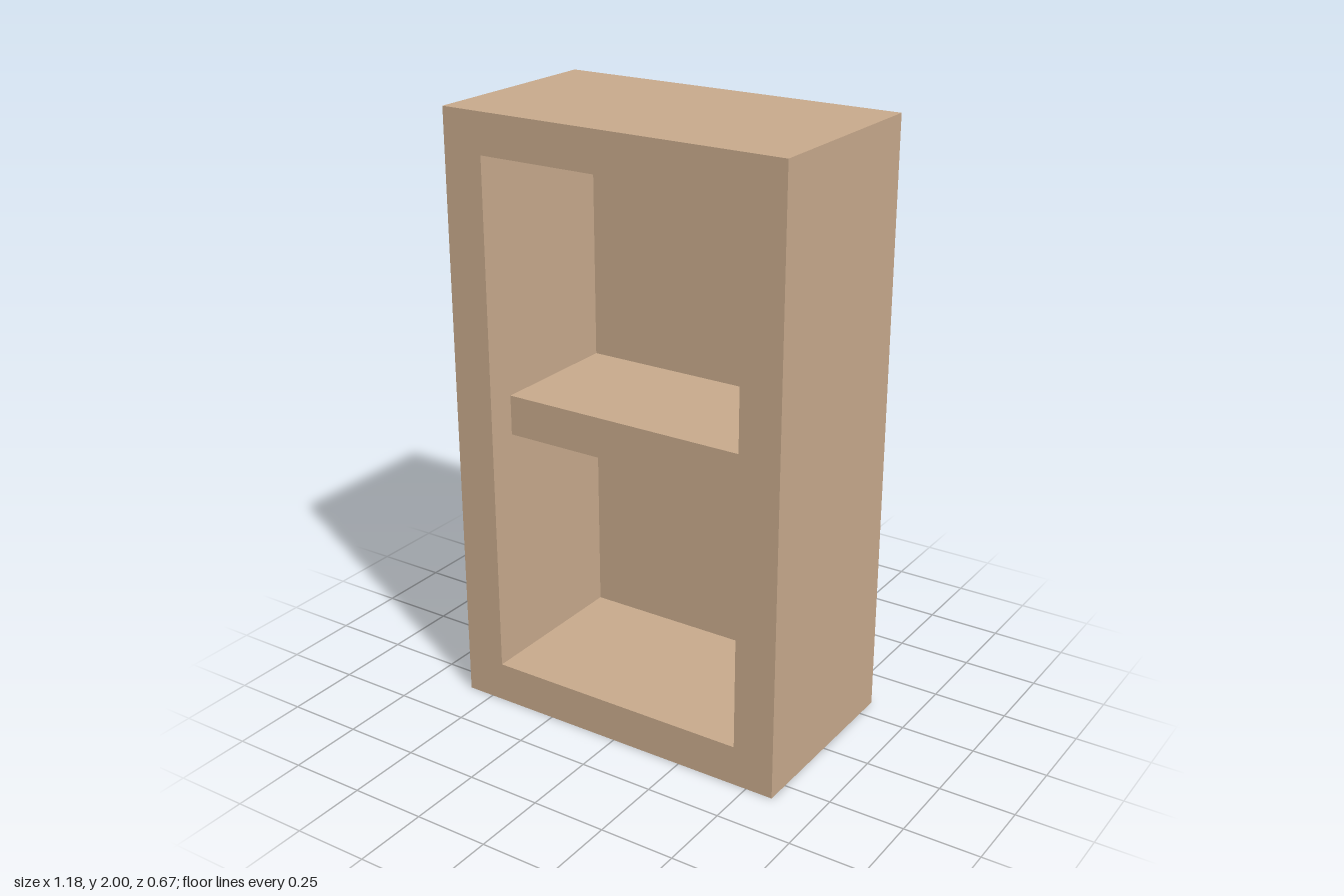
import * as THREE from 'three';

const W = 1.185, H = 2, D = 0.665; // outer size
const IN_W = 0.908, IN_BOTTOM = 0.135, IN_TOP = 1.868; // opening
const BACK = 0.098, SHELF_INSET = 0.098;

function rectangle(target, w, y0, y1) {
  target.moveTo(-w / 2, y0);
  target.lineTo(w / 2, y0);
  target.lineTo(w / 2, y1);
  target.lineTo(-w / 2, y1);
  target.closePath();
  return target;
}

export function createModel() {
  const group = new THREE.Group();
  group.name = 'bookcase';
  const wood = new THREE.MeshStandardMaterial({ color: 0xc8aa8c });
  wood.name = 'light wood';

  const add = (name, geometry, x, y, z) => {
    const mesh = new THREE.Mesh(geometry, wood);
    mesh.name = name;
    mesh.position.set(x, y, z);
    group.add(mesh);
  };

  // Frame: sides, top and bottom as one piece around the opening
  const outline = rectangle(new THREE.Shape(), W, 0, H);
  outline.holes.push(rectangle(new THREE.Path(), IN_W, IN_BOTTOM, IN_TOP));
  add('frame', new THREE.ExtrudeGeometry(outline, { depth: D, bevelEnabled: false }), 0, 0, -D / 2);

  // Back panel, set inside the frame and flush with its rear
  const inH = IN_TOP - IN_BOTTOM;
  add('backPanel', new THREE.BoxGeometry(IN_W, inH, BACK), 0, IN_BOTTOM + inH / 2, -D / 2 + BACK / 2);

  // Middle shelf, set back from the front edge
  const shelfDepth = D - BACK - SHELF_INSET;
  add('shelf', new THREE.BoxGeometry(IN_W, 0.134, shelfDepth), 0, 1.003, -D / 2 + BACK + shelfDepth / 2);

  return group;
}
